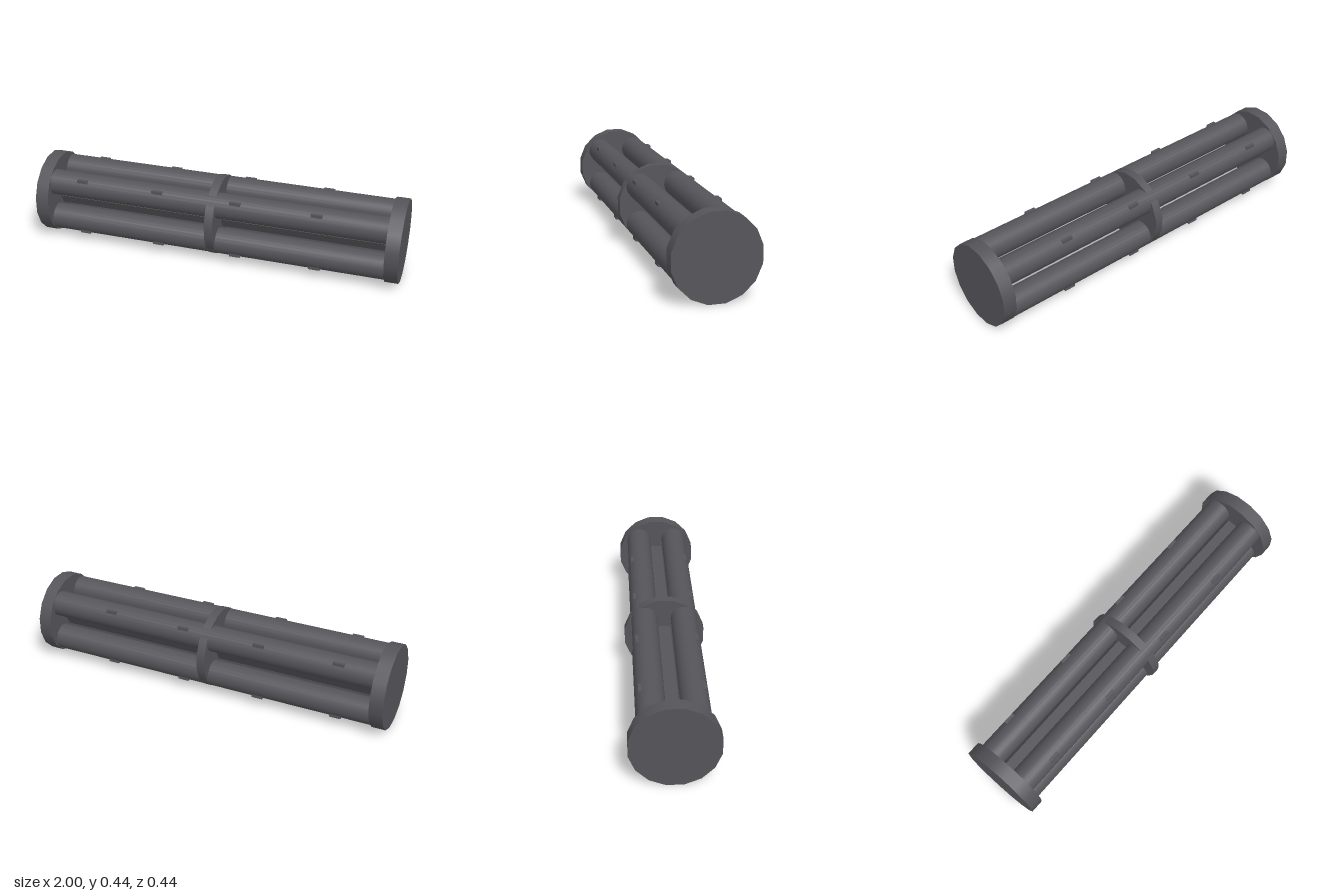
import * as THREE from 'three';

const CY = 0.22; // height of the long axis

export function createModel() {
  const model = new THREE.Group();
  model.name = 'tubeBundle';
  const gunmetal = new THREE.MeshStandardMaterial({ name: 'darkGreyMetal', color: 0x55555a });
  const gunmetalFlat = gunmetal.clone();
  gunmetalFlat.flatShading = true;

  // Cylinder lying along x
  function rod(name, radius, length, sides, turn, x, y, z, material = gunmetal) {
    const geometry = new THREE.CylinderGeometry(radius, radius, length, sides, 1, false, turn);
    geometry.rotateZ(Math.PI / 2);
    const mesh = new THREE.Mesh(geometry, material);
    mesh.name = name;
    mesh.position.set(x, CY + y, z);
    model.add(mesh);
  }

  // End caps and middle collar, sixteen-sided with a flat on top
  const capRadius = 0.22 / Math.cos(Math.PI / 16);
  rod('leftEndCap', capRadius, 0.072, 16, Math.PI / 16, 0.964, 0, 0);
  rod('rightEndCap', capRadius, 0.072, 16, Math.PI / 16, -0.964, 0, 0);
  rod('middleCollar', 0.217, 0.046, 16, Math.PI / 16, -0.003, 0, 0);

  // Hexagonal core between the tubes
  rod('core', 0.066, 1.86, 6, 0, 0, 0, 0, gunmetalFlat);

  // Four long tubes, each with a row of small lugs on its outer side
  const lugGeometry = new THREE.BoxGeometry(0.06, 0.05, 0.05);
  for (const sy of [1, -1]) {
    for (const sz of [1, -1]) {
      const place = (sy > 0 ? 'upper' : 'lower') + (sz > 0 ? 'Front' : 'Back');
      rod(place + 'Tube', 0.07, 1.86, 24, 0, 0, sy * 0.105, sz * 0.105);
      for (const x of [-0.74, -0.307, 0.127, 0.562]) {
        const lug = new THREE.Mesh(lugGeometry, gunmetal);
        lug.name = place + 'Lug';
        lug.position.set(x, CY + sy * 0.137, sz * 0.137);
        model.add(lug);
      }
    }
  }
  return model;
}
